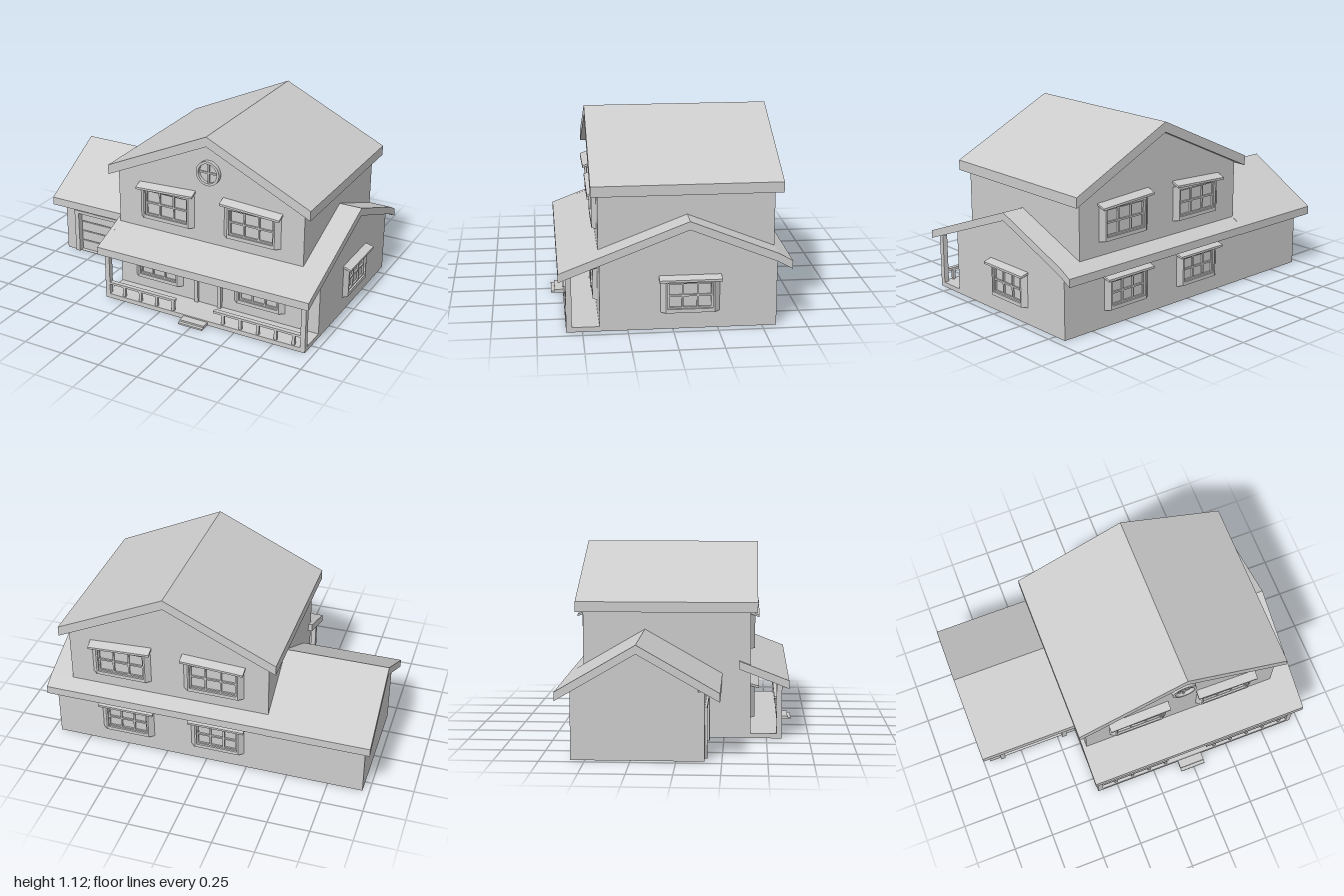
import * as THREE from 'three';

const mat = new THREE.MeshStandardMaterial({ color: 0xcccccc, flatShading: true });

function mesh(name, geo, parent) {
  const m = new THREE.Mesh(geo, mat);
  m.name = name;
  parent.add(m);
  return m;
}

// box from its min and max corners
function box(name, parent, x0, x1, y0, y1, z0, z1) {
  const g = new THREE.BoxGeometry(x1 - x0, y1 - y0, z1 - z0);
  g.translate((x0 + x1) / 2, (y0 + y1) / 2, (z0 + z1) / 2);
  return mesh(name, g, parent);
}

const toShape = (pts) => new THREE.Shape(pts.map(([a, b]) => new THREE.Vector2(a, b)));

function extrude(shape, depth) {
  return new THREE.ExtrudeGeometry(shape, { depth, bevelEnabled: false, curveSegments: 24 });
}

// outline in (x, y), running along z
function prismZ(name, parent, pts, z0, z1) {
  return mesh(name, extrude(toShape(pts), z1 - z0).translate(0, 0, z0), parent);
}

// outline in (z, y), running along x
function prismX(name, parent, pts, x0, x1) {
  return mesh(name, extrude(toShape(pts), x1 - x0).rotateY(-Math.PI / 2).translate(x1, 0, 0), parent);
}

// roof slab: top line plus the same line lowered by its thickness
const slab = (line, t) => [...line, ...line.map(([a, y]) => [a, y - t]).reverse()];

// window with splayed side frames, six panes and a sloping hood; built facing +z
function makeWindow(name, half, h, hoodTilt = 0, hoodDrop = 0.015) {
  const g = new THREE.Group();
  g.name = name;
  const inner = half - 0.04, d = 0.025, bar = 0.022;
  for (const s of [-1, 1]) {
    const plan = [[half, 0], [half - 0.03, -d], [inner, -d], [inner, 0]].map(([x, y]) => [s * x, y]);
    mesh('sideFrame', extrude(toShape(plan), h).rotateX(-Math.PI / 2), g);
  }
  box('sill', g, -inner, inner, 0, bar, 0, d);
  box('headFrame', g, -inner, inner, h - bar, h, 0, d);
  box('glass', g, -inner, inner, bar, h - bar, -0.01, 0.004);
  for (const x of [-inner + 0.004, -inner / 3, inner / 3, inner - 0.004])
    box('verticalBar', g, x - 0.005, x + 0.005, bar, h - bar, 0, 0.014);
  for (const y of [bar + 0.004, h / 2, h - bar - 0.004])
    box('crossBar', g, -inner, inner, y - 0.005, y + 0.005, 0, 0.014);
  const hood = prismX('hood', g, slab([[-0.005, 0.016], [0.05, 0.016 - hoodDrop]], 0.013), -half - 0.008, half + 0.008);
  hood.position.y = h + 0.003 + (hoodTilt ? 0.01 : 0);
  hood.rotation.z = hoodTilt;
  return g;
}

export function createModel() {
  const house = new THREE.Group();
  house.name = 'house';

  // ground floor, garage and upper floor walls
  prismX('groundFloorWalls', house,
    [[-0.58, 0], [0.405, 0], [0.405, 0.4], [-0.09, 0.585], [-0.58, 0.385]], -0.38, 0.95);
  prismX('garageWalls', house,
    [[-0.58, 0], [0.12, 0], [0.12, 0.41], [-0.215, 0.6], [-0.58, 0.385]], -0.96, -0.375);
  prismZ('upperFloorWalls', house,
    [[-0.38, 0.4], [0.84, 0.4], [0.84, 0.785], [0.235, 1.065], [-0.38, 0.785]], -0.58, 0.405);

  // roofs
  prismZ('upperRoof', house, slab([[-0.43, 0.81], [0.235, 1.12], [0.89, 0.81]], 0.06), -0.62, 0.445);
  prismX('lowerRoof', house,
    slab([[0.63, 0.35], [-0.09, 0.627], [-0.58, 0.43], [-0.66, 0.385]], 0.048), -0.38, 0.98);
  prismX('porchRoofEnd', house, slab([[0.63, 0.35], [0.34, 0.462]], 0.048), -0.405, -0.375);
  prismX('garageRoof', house, slab([[0.24, 0.385], [-0.215, 0.645], [-0.66, 0.385]], 0.05), -1, -0.375);

  // garage front with a recessed panel door
  const front = toShape([[-0.96, 0], [-0.375, 0], [-0.375, 0.385], [-0.96, 0.385]]);
  front.holes.push(new THREE.Path([[-0.86, 0.002], [-0.86, 0.27], [-0.47, 0.27], [-0.47, 0.002]]
    .map(([x, y]) => new THREE.Vector2(x, y))));
  mesh('garageFront', extrude(front, 0.035).translate(0, 0, 0.12), house);
  for (let i = 0; i < 4; i++)
    box('garageDoorPanel', house, -0.86, -0.47, i * 0.0675 + 0.003, (i + 1) * 0.0675 - 0.003, 0.115, 0.13);
  const garageTrim = new THREE.Group();
  garageTrim.name = 'garageDoorTrim';
  house.add(garageTrim);
  box('leftTrim', garageTrim, -0.47, -0.44, 0, 0.29, 0.15, 0.168);
  box('rightTrim', garageTrim, -0.89, -0.86, 0, 0.29, 0.15, 0.168);
  box('topTrim', garageTrim, -0.86, -0.47, 0.27, 0.29, 0.15, 0.168);

  // porch floor, steps and posts
  box('porchFloor', house, -0.38, 0.95, 0, 0.028, 0.4, 0.59);
  box('upperStep', house, 0.165, 0.325, 0, 0.02, 0.585, 0.64);
  box('lowerStep', house, 0.165, 0.325, 0, 0.01, 0.63, 0.66);
  for (const x of [-0.38, 0.92]) box('porchPost', house, x, x + 0.03, 0.02, 0.325, 0.558, 0.59);

  // porch railings
  for (const [x0, x1, n] of [[-0.35, 0.1, 4], [0.36, 0.92, 5]]) {
    box('handrail', house, x0, x1, 0.092, 0.106, 0.56, 0.588);
    const first = x0 < 0 ? -0.255 : 0.42;
    for (let i = 0; i < n; i++) {
      const x = first + i * 0.1133;
      box('baluster', house, x - 0.009, x + 0.009, 0.02, 0.095, 0.566, 0.582);
    }
  }

  // front door
  box('doorTrimLeft', house, 0.3, 0.323, 0.028, 0.29, 0.4, 0.425);
  box('doorTrimRight', house, 0.145, 0.167, 0.028, 0.29, 0.4, 0.425);
  box('doorTrimTop', house, 0.167, 0.3, 0.27, 0.29, 0.4, 0.425);
  box('frontDoor', house, 0.167, 0.3, 0.028, 0.27, 0.4, 0.412);

  // windows: [x, y, z, turn, half width, height, hood tilt, hood drop]
  const B = Math.PI;
  const windows = [
    ['upperFrontWindow', -0.045, 0.51, 0.405, 0, 0.182, 0.205, 0.05, 0.022],
    ['upperFrontWindow', 0.515, 0.51, 0.405, 0, 0.182, 0.205, -0.05, 0.022],
    ['upperBackWindow', -0.05, 0.51, -0.58, B, 0.182, 0.205, -0.05, 0.022],
    ['upperBackWindow', 0.517, 0.51, -0.58, B, 0.182, 0.205, 0.05, 0.022],
    ['lowerFrontWindow', -0.107, 0.1, 0.405, 0, 0.165, 0.19],
    ['lowerFrontWindow', 0.57, 0.1, 0.405, 0, 0.165, 0.19],
    ['lowerBackWindow', -0.07, 0.1, -0.58, B, 0.165, 0.19],
    ['lowerBackWindow', 0.495, 0.1, -0.58, B, 0.165, 0.19],
    ['sideWindow', 0.95, 0.1, -0.095, B / 2, 0.165, 0.195],
  ];
  for (const [name, x, y, z, turn, ...size] of windows) {
    const w = makeWindow(name, ...size);
    w.position.set(x, y, z);
    w.rotation.y = turn;
    house.add(w);
  }

  // round gable window
  const round = new THREE.Group();
  round.name = 'roundWindow';
  round.position.set(0.235, 0.888, 0.405);
  house.add(round);
  const ring = new THREE.Shape().absarc(0, 0, 0.075, 0, Math.PI * 2);
  ring.holes.push(new THREE.Path().absarc(0, 0, 0.06, 0, Math.PI * 2, true));
  mesh('ring', extrude(ring, 0.025), round);
  mesh('glass', new THREE.CircleGeometry(0.062, 32).translate(0, 0, 0.004), round);
  box('verticalBar', round, -0.005, 0.005, -0.061, 0.061, 0, 0.014);
  box('crossBar', round, -0.061, 0.061, -0.005, 0.005, 0, 0.014);

  return house;
}
